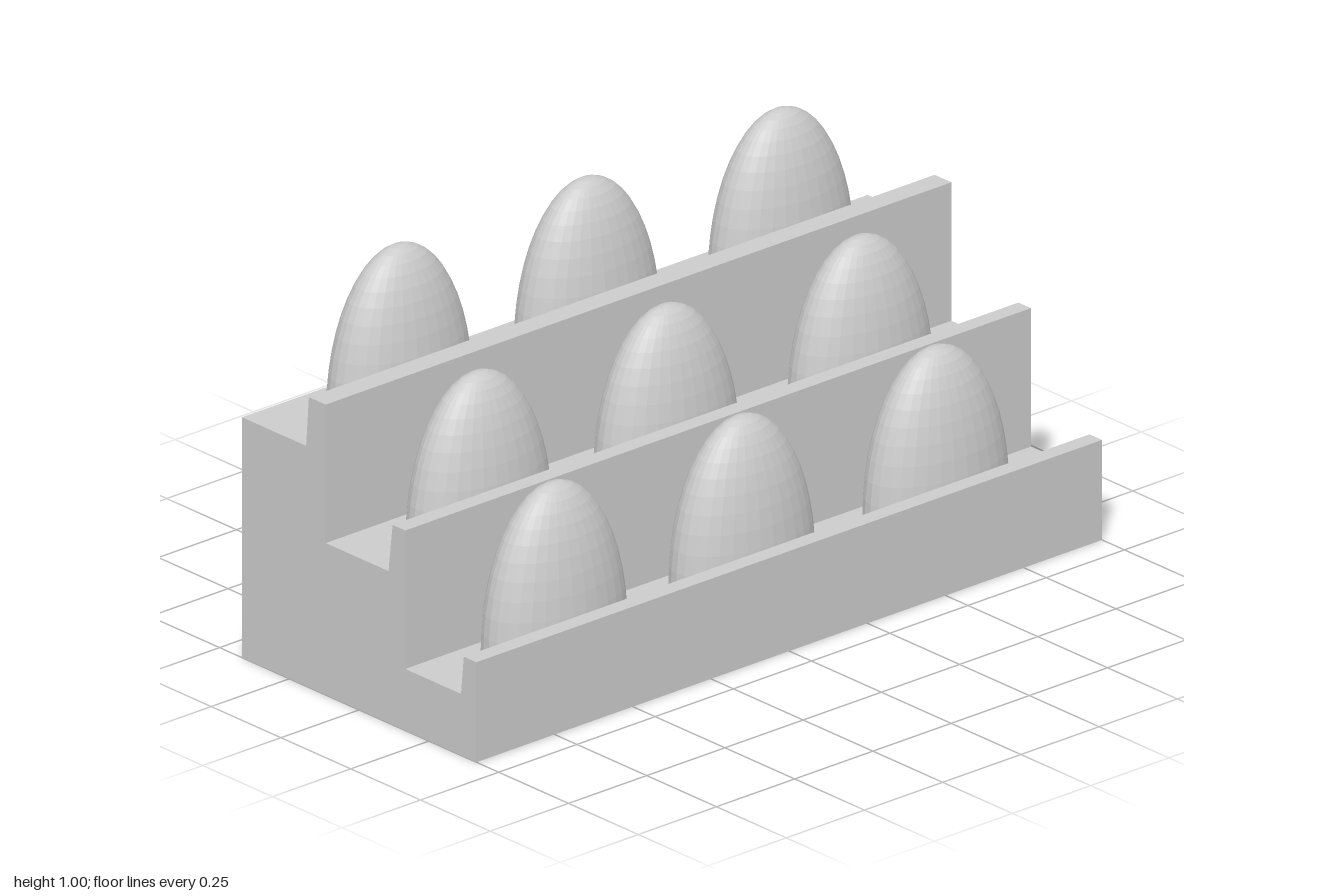
import * as THREE from 'three';

const material = new THREE.MeshStandardMaterial({
  color: 0xcccccc, flatShading: true, side: THREE.DoubleSide,
});

// Stepped profile as [z, y], from the bottom front to the open back
const PROFILE = [
  [0.42, 0], [0.42, 0.26], [0.375, 0.26], [0.365, 0.16],
  [0.165, 0.16], [0.165, 0.52], [0.12, 0.52], [0.105, 0.395],
  [-0.12, 0.395], [-0.12, 0.755], [-0.18, 0.755], [-0.19, 0.625],
  [-0.42, 0.625],
];

function addMesh(parent, geometry, name) {
  const mesh = new THREE.Mesh(geometry, material);
  mesh.name = name;
  parent.add(mesh);
  return mesh;
}

// Thin folded sheet: one strip per profile segment, open below and behind
function steppedSheet() {
  const sheet = new THREE.PlaneGeometry(2, 1, 1, PROFILE.length - 1);
  const pos = sheet.attributes.position;
  for (let i = 0; i < pos.count; i++) {
    // Rows run from the back shelf down to the front foot
    const [z, y] = PROFILE[PROFILE.length - 1 - Math.floor(i / 2)];
    pos.setXYZ(i, pos.getX(i), y, z);
  }
  const flat = sheet.toNonIndexed();
  flat.computeVertexNormals();
  return flat;
}

// End panel closing the steps at the side
function endPanel() {
  const points = [...PROFILE, [-0.42, 0]].map(([z, y]) => new THREE.Vector2(-z, y));
  return new THREE.ShapeGeometry(new THREE.Shape(points)).rotateY(Math.PI / 2);
}

// Hollow egg-shaped dome, open at the base, with a stepped opening at the back
function domeGeometry() {
  const rows = 13, sweep = THREE.MathUtils.degToRad(97);
  const sphere = new THREE.SphereGeometry(1, 32, rows, 0, Math.PI * 2, 0, sweep).toNonIndexed();
  const pos = sphere.attributes.position;
  const kept = [];
  const corner = new THREE.Vector3(), mid = new THREE.Vector3();
  for (let i = 0; i < pos.count; i += 3) {
    mid.set(0, 0, 0);
    for (let k = 0; k < 3; k++) mid.add(corner.fromBufferAttribute(pos, i + k));
    mid.normalize();
    const row = Math.floor((Math.acos(mid.y) / sweep) * rows);
    // Angle from straight back, growing towards the right (-x)
    const angle = THREE.MathUtils.radToDeg(Math.atan2(-mid.x, -mid.z));
    const upper = (row === 6 || row === 7) && angle > -33.75 && angle < 11.25;
    const lower = row >= 8 && row <= 11 && angle > -11.25 && angle < 33.75;
    if (upper || lower) continue;
    for (let k = 0; k < 3; k++) kept.push(...corner.fromBufferAttribute(pos, i + k).toArray());
  }
  const dome = new THREE.BufferGeometry();
  dome.setAttribute('position', new THREE.Float32BufferAttribute(kept, 3));
  dome.scale(0.21, 0.41, 0.12);
  dome.computeVertexNormals();
  return dome;
}

export function createModel() {
  const model = new THREE.Group();
  model.name = 'steppedDisplay';

  // Stand with three lipped shelves
  const stand = new THREE.Group();
  stand.name = 'stand';
  model.add(stand);
  addMesh(stand, steppedSheet(), 'shelves');
  const panel = endPanel();
  addMesh(stand, panel, 'leftEndPanel').position.x = 1;
  addMesh(stand, panel, 'rightEndPanel').position.x = -1;

  // Three rows of three domes, sunk slightly through the shelves
  const dome = domeGeometry();
  const rows = [
    { name: 'frontDome', y: 0.15, z: 0.25 },
    { name: 'middleDome', y: 0.35, z: -0.02 },
    { name: 'backDome', y: 0.588, z: -0.305 },
  ];
  for (const { name, y, z } of rows) {
    for (const x of [-0.6, 0, 0.62]) addMesh(model, dome, name).position.set(x, y, z);
  }
  return model;
}
